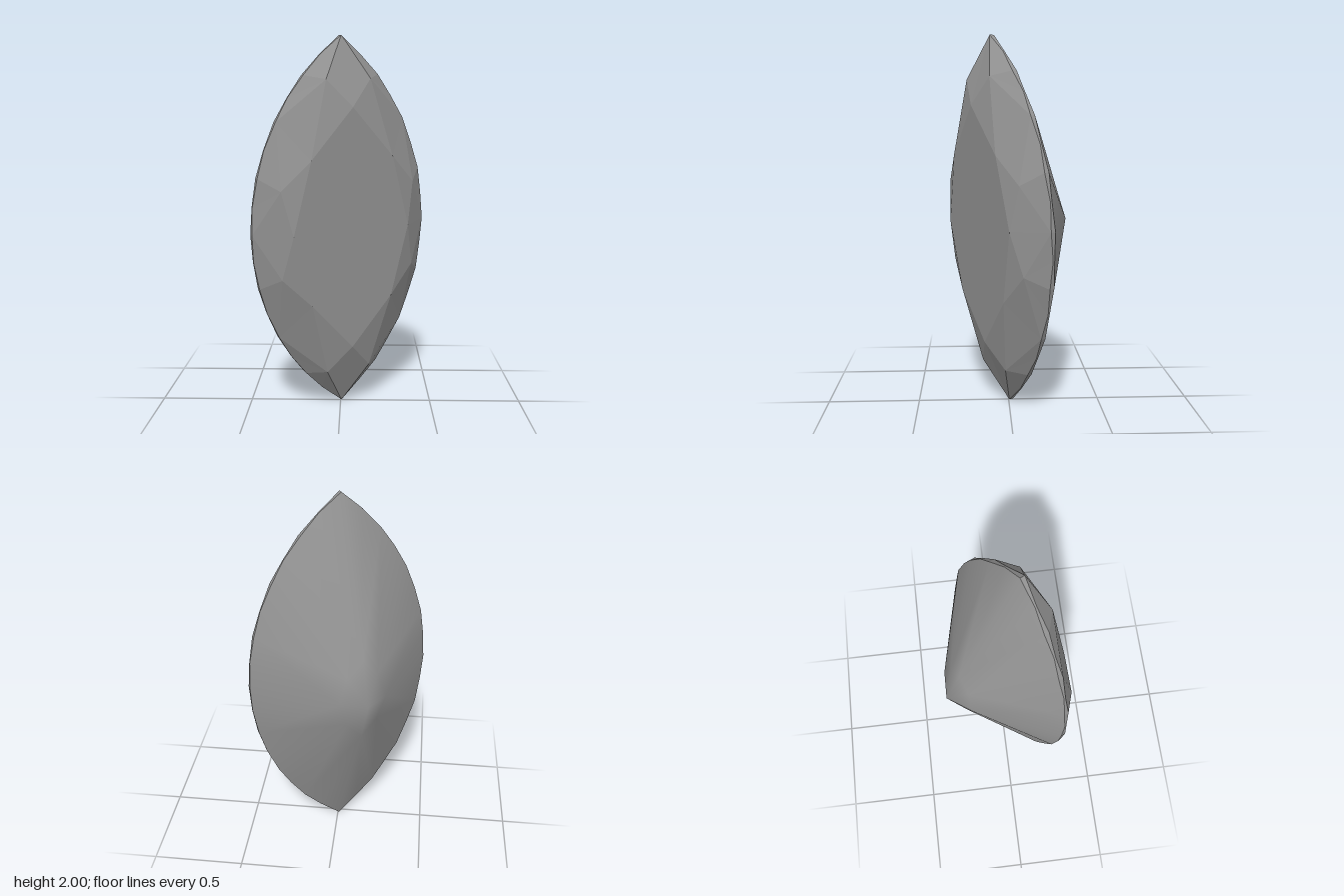
import * as THREE from 'three';

// Stone axes: U across the width, V along the length, N out of the table
const U = new THREE.Vector3(0.886, 0.03, -0.463);
const V = new THREE.Vector3(0, 1, 0.052);
const N = new THREE.Vector3(0.465, -0.046, 0.886);
const CENTRE = new THREE.Vector3(0.005, 1, 0.048);
const HALF_WIDTH = 0.509;
const ARC_RADIUS = (1 + HALF_WIDTH ** 2) / (2 * HALF_WIDTH);

const at = ([u, v, n]) => CENTRE.clone().addScaledVector(U, u).addScaledVector(V, v).addScaledVector(N, n);

// Mirror a quarter of an outline into a full anticlockwise ring
function ring(quarter) {
  const points = [];
  [[1, 1], [-1, 1], [-1, -1], [1, -1]].forEach(([su, sv], q) => {
    const odd = q % 2 === 1;
    const list = odd ? [...quarter].reverse() : quarter;
    for (const [u, v, n] of list) {
      if (odd && (u === 0 || v === 0)) continue; // shared with the neighbouring quarter
      points.push(at([su * u, sv * v, n]));
    }
  });
  return points;
}

// 32-point pointed oval from two arcs; its height alternates to scallop the girdle
function rimRing(cornerHeight, midHeight) {
  const steps = [0, 0.145, 0.29, 0.43, 0.57, 0.69, 0.8, 0.905, 1];
  return ring(steps.map((v, i) => {
    const u = v === 1 ? 0 : Math.sqrt(ARC_RADIUS ** 2 - v * v) - ARC_RADIUS + HALF_WIDTH;
    return [u, v, i % 2 ? midHeight : cornerHeight];
  }));
}

function facets(name, triangles, smooth) {
  const ids = new Map(), positions = [], index = [];
  for (const p of triangles.flat()) {
    if (!smooth || !ids.has(p)) {
      ids.set(p, positions.length / 3);
      positions.push(p.x, p.y, p.z);
    }
    index.push(ids.get(p));
  }
  const geometry = new THREE.BufferGeometry();
  geometry.setAttribute('position', new THREE.Float32BufferAttribute(positions, 3));
  geometry.setIndex(index);
  geometry.computeVertexNormals();
  const mesh = new THREE.Mesh(geometry, new THREE.MeshStandardMaterial({ color: 0x929292, flatShading: !smooth }));
  mesh.name = name;
  return mesh;
}

export function createModel() {
  const rim = rimRing(0, -0.009);
  const lowerRim = rimRing(-0.025, -0.018);
  const tableRing = ring([[0.335, 0, 0.135], [0.235, 0.38, 0.135], [0, 0.64, 0.135]]);
  const crownRing = ring([[0.385, 0.23, 0.095], [0.127, 0.78, 0.085]]);
  const pavilionRing = ring([[0.13, 0, -0.342], [0.085, 0.14, -0.328], [0, 0.23, -0.333]]);
  const tableCentre = at([0, 0, 0.135]);
  const culet = at([0, 0, -0.413]);

  const table = [], crown = [], girdle = [], pavilion = [];
  for (let i = 0; i < 8; i++) {
    const prev = (i + 7) % 8, next = (i + 1) % 8;
    const T = tableRing[i], M = crownRing[i], P = pavilionRing[i], Q = pavilionRing[next];

    table.push([tableCentre, T, tableRing[next]]);
    crown.push(
      [T, M, tableRing[next]],                                        // star facet
      [T, crownRing[prev], rim[4 * i]], [T, rim[4 * i], M],           // kite facet
    );
    pavilion.push([culet, Q, P], [P, Q, lowerRim[4 * i + 2]]);
    for (let k = 0; k < 4; k++) {
      const a = 4 * i + k, b = (a + 1) % 32;
      crown.push([M, rim[a], rim[b]]);                                // girdle facets
      pavilion.push([k < 2 ? P : Q, lowerRim[b], lowerRim[a]]);
      girdle.push([rim[a], lowerRim[a], lowerRim[b]], [rim[a], lowerRim[b], rim[b]]);
    }
  }

  const gem = new THREE.Group();
  gem.name = 'marquiseGem';
  gem.add(
    facets('table', table, false),
    facets('crown', crown, false),
    facets('girdle', girdle, false),
    facets('pavilion', pavilion, true),
  );
  return gem;
}
